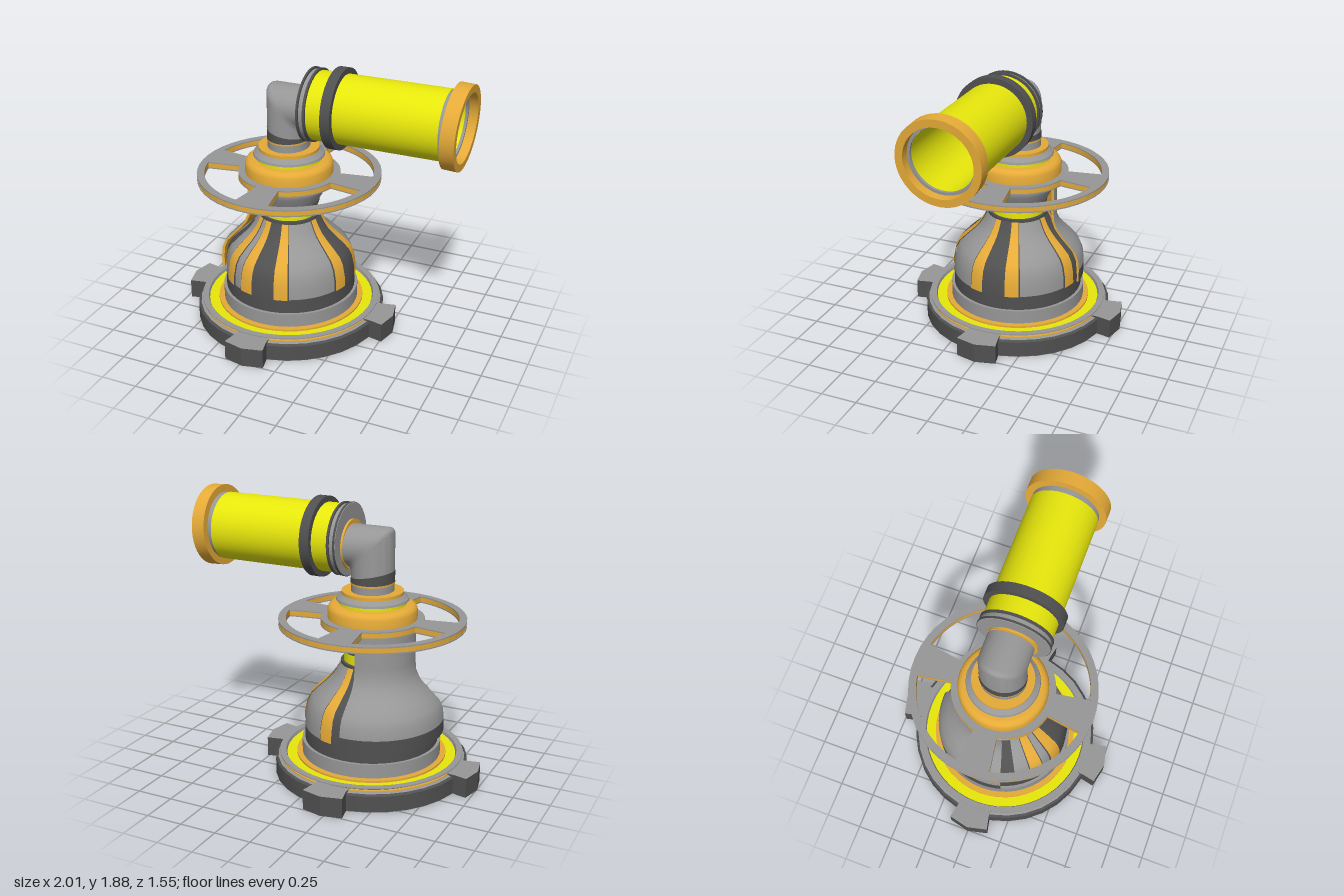
import * as THREE from 'three';
import { toCreasedNormals } from 'three/addons/utils/BufferGeometryUtils.js';
import { ParametricGeometry } from 'three/addons/geometries/ParametricGeometry.js';

const rad = THREE.MathUtils.degToRad;
const AXIS = -0.23; // x of the upright axis

function mat(name, color, side = THREE.FrontSide) {
  const m = new THREE.MeshStandardMaterial({ color, side });
  m.name = name;
  return m;
}

export function createModel() {
  const model = new THREE.Group();
  model.name = 'swivelCannon';
  const yellow = mat('yellow', 0xe8e80c);
  const gold = mat('gold', 0xe6ab38, THREE.DoubleSide);
  const grey = mat('grey', 0x979797);
  const dark = mat('darkGrey', 0x505050);

  const stand = new THREE.Group();
  stand.name = 'stand';
  stand.position.x = AXIS;
  model.add(stand);

  const add = (parent, name, geo, material) => {
    const mesh = new THREE.Mesh(geo, material);
    mesh.name = name;
    parent.add(mesh);
    return mesh;
  };
  const points = list => list.map(p => new THREE.Vector2(p[0], p[1]));
  // Turned part from [radius, height] pairs; angles run from +z towards +x
  const turn = (pts, from = 0, span = 360, segs = 48) => toCreasedNormals(
    new THREE.LatheGeometry(points(pts), segs, rad(from), rad(span)), 0.6);
  const ring = (name, r, y0, y1, material, r1 = r, parent = stand) =>
    add(parent, name, turn([[0, y0], [r, y0], [r1, y1], [0, y1]]), material);

  // Base drum with a stepped, coloured top
  add(stand, 'baseDrum', turn([[0.657, 0.004], [0.657, 0.112], [0.64, 0.122]], 0, 360, 32), dark);
  add(stand, 'baseUnderside', turn([[0, 0], [0.655, 0], [0.657, 0.004]], 0, 360, 32), grey);
  add(stand, 'baseTop', turn([[0.645, 0.119], [0.625, 0.126], [0.4, 0.126]], 0, 360, 32), grey);
  ring('baseGoldLine', 0.618, 0.124, 0.134, gold);
  add(stand, 'baseRim', turn([[0.58, 0.13], [0.6, 0.134], [0.627, 0.15], [0.627, 0.157], [0.585, 0.157], [0.575, 0.13]]), grey);
  add(stand, 'baseYellowRing', turn([[0.582, 0.137], [0.4, 0.137]]), yellow);
  add(stand, 'baseGoldRing', turn([[0.51, 0.135], [0.51, 0.15], [0.4, 0.15]]), gold);

  // Four pointed feet, dark with grey top and bottom faces
  const foot = new THREE.Shape(points([[0.58, -0.115], [0.65, -0.12], [0.742, -0.14], [0.775, 0],
    [0.742, 0.14], [0.65, 0.12], [0.58, 0.115]]));
  const flat = (shape, y, h) => new THREE.ExtrudeGeometry(shape, { depth: h, bevelEnabled: false, curveSegments: 24 })
    .rotateX(-Math.PI / 2).translate(0, y, 0);
  for (let i = 0; i < 4; i++) {
    add(stand, 'foot', flat(foot, 0, 0.136), [grey, dark]).rotation.y = i * Math.PI / 2;
  }

  // Plinth
  ring('plinthStep', 0.472, 0.12, 0.245, grey);
  ring('plinthBand', 0.452, 0.245, 0.345, dark);

  // Bell-shaped body
  const bell = [[0.45, 0.345], [0.446, 0.42], [0.43, 0.5], [0.405, 0.55], [0.355, 0.6],
    [0.3, 0.65], [0.262, 0.69], [0.235, 0.73], [0.205, 0.79]];
  const bellOut = d => bell.map(([r, y]) => [r + d, y]);
  add(stand, 'bell', turn(bell), grey);
  // Dark panels flanked by gold strips
  const strip = (start, span) => add(stand, 'bellStrip', turn(bellOut(0.008), start, span, 5), gold);
  for (const mid of [0, 90, 180]) {
    add(stand, 'bellPanel', turn(bellOut(0.003), mid - 23.7, 47.4, 12), dark);
    strip(mid - 22.5, 12);
    strip(mid + 10.5, 12);
  }
  // Single strip and dark bracket in front of the cape
  add(stand, 'bellStripShadow', turn(bellOut(0.003), -46, 14, 5), dark);
  strip(-45, 12);
  add(stand, 'bellBracket', turn(bellOut(0.01).slice(1, 8), -73, 13, 5), dark);

  // Neck and funnel
  ring('neckLowerRing', 0.208, 0.785, 0.806, dark);
  ring('neckBand', 0.19, 0.805, 0.882, yellow);
  ring('neckUpperRing', 0.203, 0.88, 0.897, dark);
  add(stand, 'funnel', turn([[0, 0.896], [0.2, 0.896], [0.248, 0.985], [0.256, 1.01], [0.256, 1.065]]), grey);

  // Cape over the rear left quarter: grey outside, gold lining, gold rim
  const cape = new THREE.Group();
  cape.name = 'cape';
  cape.position.set(-0.01, 0, 0.012);
  stand.add(cape);
  const CAPE0 = 177, CAPE = 109;
  const capeOuter = [[0.478, 0.32], [0.478, 0.41], [0.471, 0.48], [0.448, 0.535], [0.398, 0.59],
    [0.348, 0.64], [0.308, 0.69], [0.283, 0.75], [0.278, 0.82], [0.278, 1.045]];
  const capeInner = capeOuter.map(([r, y]) => [r - 0.018, y]);
  add(cape, 'capeSkirt', turn(capeOuter.slice(0, 2), CAPE0, CAPE, 24), dark);
  add(cape, 'capeShell', turn(capeOuter.slice(1), CAPE0, CAPE, 24), grey);
  add(cape, 'capeLining', turn([capeOuter[0], ...capeInner, capeOuter[9]], CAPE0, CAPE, 24), gold);
  const rim = new THREE.Shape(points([...capeOuter, ...capeInner.slice().reverse()]));
  for (const a of [CAPE0, CAPE0 + CAPE]) {
    add(cape, 'capeEdge', new THREE.ShapeGeometry(rim), gold).rotation.y = rad(a - 90);
  }

  // Four-spoked wheel: gold core between grey plates
  const wheel = r => {
    const s = new THREE.Shape().absarc(0, 0, r, 0, Math.PI * 2, false);
    for (let i = 0; i < 4; i++) {
      const a = i * 90, h = new THREE.Path();
      h.absarc(0, 0, 0.572, rad(a + 11.6), rad(a + 78.4), false);
      h.absarc(0, 0, 0.345, rad(a + 76.8), rad(a + 13.2), true);
      h.closePath();
      s.holes.push(h);
    }
    return s;
  };
  add(stand, 'wheelCore', flat(wheel(0.618), 1.064, 0.032), gold);
  add(stand, 'wheelTopPlate', flat(wheel(0.623), 1.095, 0.008), grey);
  add(stand, 'wheelBottomPlate', flat(wheel(0.623), 1.056, 0.008), grey);

  // Hub above the wheel
  add(stand, 'hub', turn([[0.298, 1.09], [0.298, 1.16], [0.29, 1.182], [0.272, 1.196], [0.25, 1.2], [0, 1.2]]), gold);
  ring('hubYellowRing', 0.225, 1.2, 1.226, yellow);
  ring('hubLowerDisc', 0.242, 1.226, 1.24, grey, 0.238);
  ring('hubUpperDisc', 0.235, 1.24, 1.265, grey, 0.205);
  ring('hubGoldRing', 0.205, 1.258, 1.286, gold);

  // Oval elbow pipe: each line around it climbs, rounds the corner and runs along +x
  const RX = 0.14, RZ = 0.155, BEND = 1.572, ROUND = 0.035;
  const elbow = (u, v, out) => {
    const c = Math.cos(u * Math.PI * 2), X = RX * c, Y = BEND - RX * c;
    const k = Math.round(v * 8);
    let x = X, y = 1.28;
    if (k === 8) { x = 0.17; y = Y; } else if (k > 0) {
      const t = (k - 1) / 6 * Math.PI / 2;
      x = X + ROUND * (1 - Math.cos(t));
      y = Y - ROUND * (1 - Math.sin(t));
    }
    out.set(x, y, -RZ * Math.sin(u * Math.PI * 2));
  };
  add(stand, 'elbowPipe', toCreasedNormals(new ParametricGeometry(elbow, 40, 8), 0.6), grey);
  // Sleeves hugging the pipe, the dark one cut on a slant
  const sleeve = (y0, y1, slant, d) => new ParametricGeometry((u, v, out) => {
    const c = Math.cos(u * Math.PI * 2);
    out.set((RX + d) * c, v < 0.5 ? y0 : y1 - slant * c, -(RZ + d) * Math.sin(u * Math.PI * 2));
  }, 40, 1);
  add(stand, 'pipeGoldLine', sleeve(1.336, 1.348, 0, 0.004), gold);
  add(stand, 'pipeDarkSleeve', sleeve(1.346, 1.398, 0.025, 0.003), dark);

  // Barrel, turned upright and then laid along +x
  const barrel = new THREE.Group();
  barrel.name = 'barrel';
  barrel.position.set(0, 1.604, 0.01);
  barrel.rotation.z = -Math.PI / 2;
  model.add(barrel);
  const hoop = (name, ro, ri, x0, x1, material, parent = barrel) =>
    add(parent, name, turn([[ri, x0], [ro, x0], [ro, x1], [ri, x1], [ri, x0]]), material);

  ring('barrelGoldDisc', 0.165, -0.082, -0.06, gold, 0.165, barrel).position.x = 0.03;
  ring('barrelBackPlate', 0.24, -0.067, -0.063, grey, 0.243, barrel);
  ring('barrelBackDisc', 0.245, -0.064, -0.05, dark, 0.245, barrel);
  ring('barrelCollar', 0.232, -0.05, -0.018, grey, 0.232, barrel);
  ring('barrelCollarDisc', 0.243, -0.02, -0.004, dark, 0.243, barrel);
  hoop('barrelTube', 0.229, 0.21, -0.004, 0.868, yellow);
  hoop('barrelLiner', 0.214, 0.207, 0, 0.912, yellow);
  hoop('barrelBand', 0.268, 0.22, 0.111, 0.178, dark);
  hoop('barrelEndBand', 0.227, 0.213, 0.865, 0.915, grey);

  // Dark floor plate inside the barrel, its top cut straight to show yellow above
  add(barrel, 'barrelInnerEnd', new THREE.CircleGeometry(0.21, 40).rotateX(-Math.PI / 2).translate(0, 0.02, 0), yellow);
  const plate = new THREE.Shape().absarc(0, 0, 0.207, rad(48), rad(132), true);
  add(barrel, 'barrelInnerPlate', new THREE.ShapeGeometry(plate, 40).rotateY(Math.PI / 2)
    .rotateZ(Math.PI / 2).translate(0, 0.03, 0), dark);

  // Muzzle ring, tipped slightly forward, with a thin grey lip inside
  const muzzle = new THREE.Group();
  muzzle.name = 'muzzle';
  muzzle.position.y = 0.94;
  muzzle.rotation.z = rad(-3);
  barrel.add(muzzle);
  hoop('muzzleRing', 0.276, 0.226, -0.047, 0.047, gold, muzzle);
  hoop('muzzleLip', 0.23, 0.207, -0.03, -0.012, grey, muzzle);
  return model;
}
